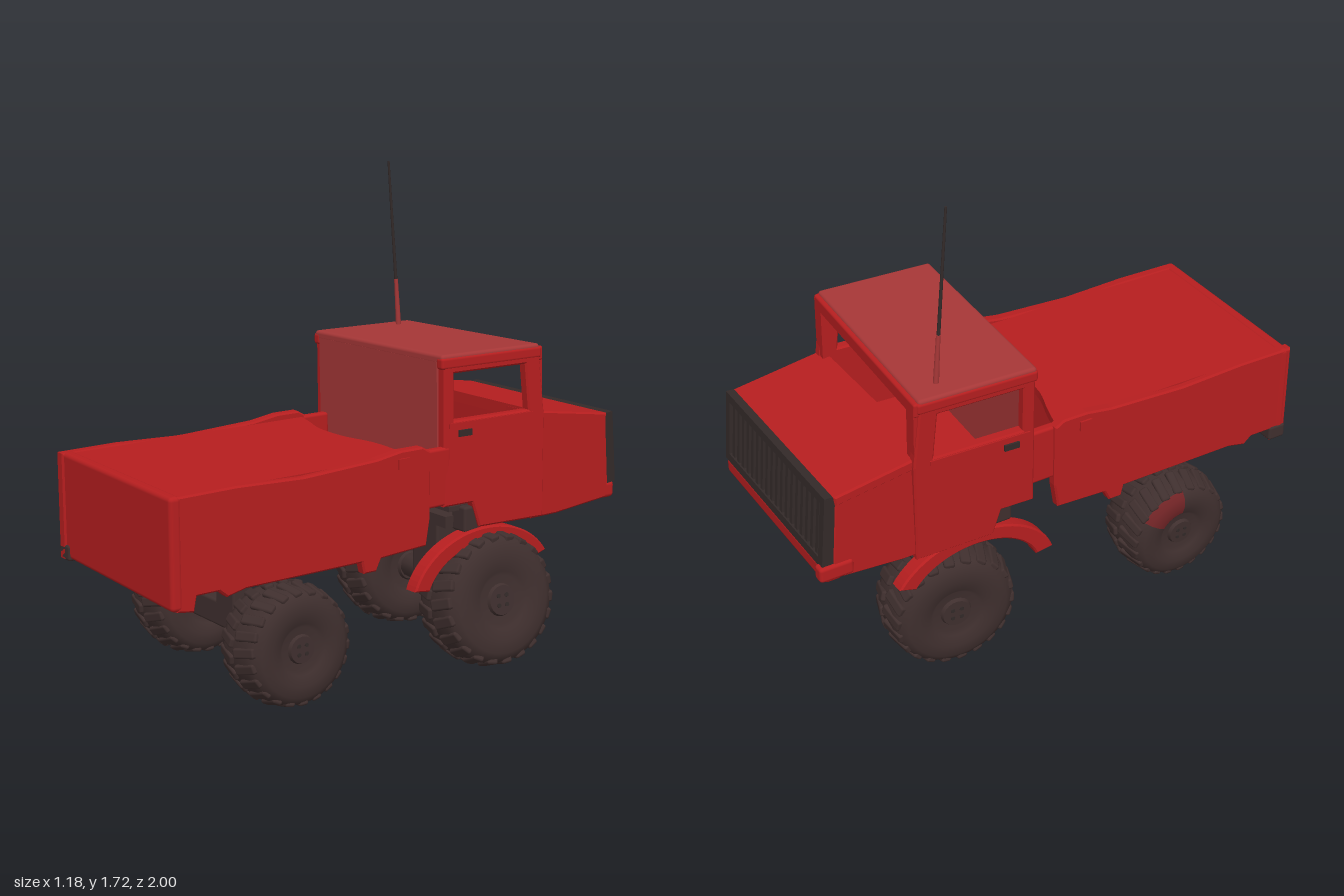
import * as THREE from 'three';
import { mergeGeometries } from 'three/addons/utils/BufferGeometryUtils.js';
import { RoundedBoxGeometry } from 'three/addons/geometries/RoundedBoxGeometry.js';

const mat = (name, color) => {
  const m = new THREE.MeshStandardMaterial({ color });
  m.name = name;
  return m;
};

export function createModel() {
  const red = mat('red paint', 0xb61e1f);
  const faded = mat('faded red paint', 0xa63737);
  const rubber = mat('dark brown rubber', 0x3f2f2e);
  const black = mat('black plastic', 0x332a29);
  const stain = mat('red stained rubber', 0x742527);

  const model = new THREE.Group();
  const truck = new THREE.Group();
  truck.name = 'truck';
  truck.rotation.y = -0.2514; // the truck stands at an angle, its nose toward -z
  model.add(truck);

  const add = (name, geo, material, parent = truck) => {
    const m = new THREE.Mesh(geo, material);
    m.name = name;
    parent.add(m);
    return m;
  };
  // Box given by its limits on each axis
  const box = (name, material, x0, x1, y0, y1, z0, z1, r = 0, parent = truck) => {
    const s = [x1 - x0, y1 - y0, z1 - z0];
    const g = r ? new RoundedBoxGeometry(...s, 2, r) : new THREE.BoxGeometry(...s);
    const m = add(name, g, material, parent);
    m.position.set((x0 + x1) / 2, (y0 + y1) / 2, (z0 + z1) / 2);
    return m;
  };
  const shapeOf = pts => new THREE.Shape(pts.map(p => new THREE.Vector2(...p)));
  // Side panel: profile in (forward, up), extruded from x0 to x1
  const sidePanel = (name, material, shape, x0, x1, parent = truck) => {
    const g = new THREE.ExtrudeGeometry(shape, {
      depth: x1 - x0 - 0.012, bevelThickness: 0.006, bevelSize: 0.006, bevelOffset: -0.006, bevelSegments: 1, curveSegments: 16 });
    g.rotateY(Math.PI / 2).translate(x0 + 0.006, 0, 0);
    return add(name, g, material, parent);
  };
  const bothSides = fn => [-1, 1].forEach(s => fn(s, (a, b) => (s > 0 ? [a, b] : [-b, -a])));

  // Cab: a hollow shell, slightly twisted and leaning on the chassis
  const cab = new THREE.Group();
  cab.name = 'cab';
  cab.position.set(-0.01, 0.595, -0.365);
  cab.rotation.set(0, -0.047, 0.028);
  truck.add(cab);
  const cabBody = new THREE.Group();
  cabBody.name = 'cabBody';
  cabBody.position.set(0, -0.6, 0.365);
  cab.add(cabBody);
  bothSides((s, span) => {
    const side = shapeOf([[0.15, 0.62], [0.27, 0.62], [0.3, 0.53], [0.58, 0.525], [0.585, 0.89],
      [0.56, 1.115], [0.153, 1.115]]);
    side.holes.push(shapeOf([[0.195, 0.91], [0.195, 1.07], [0.5, 1.07], [0.515, 0.91]]));
    sidePanel('cabSide', red, side, ...span(0.345, 0.384), cabBody);
    box('doorHandle', black, ...span(0.384, 0.391), 0.855, 0.877, -0.265, -0.21, 0, cabBody);
    box('doorSill', red, ...span(0.382, 0.389), 0.887, 0.903, -0.53, -0.17, 0, cabBody);
    box('roofEdge', red, ...span(0.35, 0.386), 1.085, 1.125, -0.57, -0.143, 0.01, cabBody);
  });
  box('cabBackWall', faded, -0.352, 0.352, 0.63, 1.11, -0.175, -0.145, 0, cabBody);
  box('cabRoof', faded, -0.382, 0.382, 1.1, 1.135, -0.565, -0.145, 0.012, cabBody);
  box('roofFrontEdge', red, -0.38, 0.38, 1.075, 1.125, -0.58, -0.55, 0.008, cabBody);
  box('cabFloor', red, -0.35, 0.35, 0.62, 0.645, -0.57, -0.16, 0, cabBody);
  const frame = shapeOf([[-0.375, 0.86], [0.375, 0.86], [0.375, 1.115], [-0.375, 1.115]]);
  frame.holes.push(shapeOf([[-0.325, 0.895], [-0.325, 1.08], [0.325, 1.08], [0.325, 0.895]]));
  add('windscreenFrame', new THREE.ExtrudeGeometry(frame, { depth: 0.03, bevelEnabled: false }), red, cabBody)
    .position.z = -0.58;
  box('firewall', red, -0.35, 0.35, 0.55, 0.89, -0.575, -0.555, 0, cabBody);

  bothSides((s, span) => {
    sidePanel('noseSide', red, shapeOf([[0.52, 0.525], [0.64, 0.525], [0.88, 0.545], [0.89, 0.6],
      [0.87, 0.85], [0.52, 0.885]]), ...span(0.335, 0.372));
    box('fuelTank', rubber, ...span(0.29, 0.36), 0.52, 0.61, -0.3, -0.225, 0.01);

    // Hooked arch over the front wheel
    const c = s > 0 ? 0.31 : 0.375;
    const arch = new THREE.Shape();
    arch.absellipse(c, 0.3, 0.315, 0.232, 0.45, Math.PI - 0.24, false);
    arch.absellipse(c, 0.3, 0.25, 0.178, Math.PI - 0.26, 0.48, true);
    sidePanel('wheelArch', red, arch, ...span(0.315, 0.372));

    // Cargo bed side with uneven rim and lower tabs
    sidePanel('bedSide', red, shapeOf([[-0.92, 0.47], [-0.86, 0.46], [-0.85, 0.51], [-0.77, 0.51], [-0.74, 0.485],
      [-0.67, 0.5], [-0.22, 0.5], [-0.21, 0.46], [-0.16, 0.46], [-0.14, 0.5], [0.05, 0.51], [0.065, 0.6],
      [0.065, 0.83], [0.03, 0.85], [-0.06, 0.85], [-0.16, 0.835], [-0.45, 0.822], [-0.7, 0.832], [-0.92, 0.83]]), ...span(0.332, 0.372));
    box('bedMarker', red, ...span(0.371, 0.379), 0.79, 0.825, 0.03, 0.075);
    box('sideRail', red, ...span(0.325, 0.36), 0.63, 0.83, -0.16, -0.05, 0.01);

    // Chassis rails
    box('frontRail', rubber, ...span(0.1, 0.16), 0.52, 0.58, -0.6, -0.18);
    box('rearRail', rubber, ...span(0.1, 0.16), 0.52, 0.58, 0.1, 0.82);
  });
  box('mudFlap', rubber, -0.377, -0.31, 0.465, 0.52, 0.85, 0.92, 0.01);
  box('underbody', rubber, -0.33, 0.33, 0.595, 0.612, -0.6, -0.18);

  // Hood, grille and bumper
  sidePanel('hood', red, shapeOf([[0.54, 0.865], [0.87, 0.82], [0.875, 0.855], [0.54, 0.905]]), -0.375, 0.372);
  const grille = new THREE.Group();
  grille.name = 'grille';
  grille.position.set(0, 0.725, -0.885);
  grille.rotation.x = 0.09;
  truck.add(grille);
  const bar = (name, w, h, d, x, y, z) => add(name, new THREE.BoxGeometry(w, h, d), black, grille).position.set(x, y, z);
  bar('grilleBack', 0.735, 0.25, 0.03, 0, 0, 0.008);
  for (const s of [-1, 1]) {
    bar('grilleFrame', 0.735, 0.03, 0.05, 0, s * 0.115, -0.006);
    bar('grilleEnd', 0.03, 0.25, 0.05, s * 0.353, 0, -0.006);
  }
  for (let i = 0; i < 18; i++) bar('grilleSlat', 0.018, 0.21, 0.035, -0.315 + i * 0.037, 0, -0.008);
  box('bumper', red, -0.375, 0.37, 0.54, 0.6, -0.925, -0.86, 0.015);
  box('bumperCorner', red, -0.38, -0.335, 0.55, 0.605, -0.94, -0.82, 0.012);

  // Cargo bed: cover with wavy front edge, tailgate and front wall
  const coverShape = new THREE.Shape();
  coverShape.moveTo(-0.35, -0.9);
  coverShape.lineTo(0.35, -0.9);
  coverShape.lineTo(0.35, -0.01);
  coverShape.splineThru([[0.15, 0.005], [0, -0.02], [-0.14, -0.015], [-0.25, 0.02], [-0.35, 0.05]]
    .map(p => new THREE.Vector2(...p)));
  const cover = new THREE.ExtrudeGeometry(coverShape, { depth: 0.03, bevelEnabled: false });
  add('bedCover', cover.rotateX(-Math.PI / 2), red).position.y = 0.797;
  box('tailgate', red, -0.374, 0.374, 0.472, 0.832, 0.885, 0.927, 0.015).rotation.y = -0.04;
  box('bedFrontWall', red, -0.34, 0.34, 0.52, 0.8, 0.03, 0.05);

  // Chassis cross members and axle mounts
  box('noseBeam', rubber, -0.33, 0.33, 0.53, 0.6, -0.8, -0.74, 0.01);
  for (const z of [-0.5, -0.22]) box('frontCrossMember', rubber, -0.3, 0.3, 0.53, 0.57, z - 0.03, z + 0.03);
  for (const z of [0.14, 0.46, 0.74]) box('rearCrossMember', rubber, -0.33, 0.33, 0.53, 0.57, z - 0.03, z + 0.03);
  box('rearAxleMount', rubber, -0.075, 0.035, 0.24, 0.55, 0.42, 0.5, 0.01);
  box('frontAxleMount', rubber, -0.05, 0.09, 0.24, 0.54, -0.44, -0.33, 0.01);

  // Wheel: rounded tyre, staggered lugs and a bolted hub, axis along x
  const wheel = (name, x, y, z, r, h, yaw, camber) => {
    const g = new THREE.Group();
    g.name = name;
    g.position.set(x, y, z);
    g.rotation.set(0, yaw, camber);
    truck.add(g);
    const half = [[0, 0.8], [0.36, 0.82], [0.42, 0.92], [0.6, 1], [0.78, 0.97], [0.9, 0.82], [0.95, 0.55]];
    const pts = [...half.map(([a, b]) => [a, -b]), [0.965, 0], ...half.slice().reverse()]
      .map(([a, b]) => new THREE.Vector2(a * r, b * h));
    add('tyre', new THREE.LatheGeometry(pts, 48).rotateZ(Math.PI / 2), rubber, g);
    const lugs = [], hubs = [], bolts = [];
    for (const s of [-1, 1]) {
      for (let i = 0; i < 22; i++) {
        const a = (i + s * 0.25) / 22 * Math.PI * 2;
        lugs.push(new RoundedBoxGeometry(h * 0.85, r * 0.1, r * 0.17, 1, 0.008)
          .rotateY(s * 0.2).rotateZ(-s * 0.22).translate(s * h * 0.46, r * 0.93, 0).rotateX(a));
      }
      hubs.push(new THREE.CylinderGeometry(r * 0.22, r * 0.25, h * 0.14, 20)
        .rotateZ(-s * Math.PI / 2).translate(s * h * 0.85, 0, 0));
      for (let i = 0; i < 4; i++) {
        bolts.push(new THREE.CylinderGeometry(r * 0.035, r * 0.035, h * 0.1, 6).rotateZ(Math.PI / 2)
          .translate(s * h * 0.9, r * 0.1, 0).rotateX((i + 0.5) * Math.PI / 2));
      }
    }
    add('treadLugs', mergeGeometries(lugs), rubber, g);
    add('hub', mergeGeometries(hubs), rubber, g);
    add('hubBolts', mergeGeometries(bolts), black, g);
    return g;
  };
  wheel('frontRightWheel', 0.355, 0.275, -0.33, 0.235, 0.105, -0.08, 0.14);
  wheel('frontLeftWheel', -0.275, 0.235, -0.44, 0.228, 0.115, -0.12, 0.04);
  wheel('rearRightWheel', 0.295, 0.262, 0.472, 0.202, 0.108, -0.03, 0.03);
  const rearLeft = wheel('rearLeftWheel', -0.325, 0.262, 0.435, 0.202, 0.115, -0.03, 0.06);

  // Red paint mark on the outer sidewall of one rear tyre
  const mark = [[0.182, 0.098], [0.158, 0.114], [0.121, 0.118], [0.09, 0.109]].map(p => new THREE.Vector2(...p));
  add('paintMark', new THREE.LatheGeometry(mark, 12, 1.6, 1).rotateZ(Math.PI / 2), stain, rearLeft);

  // Rods: axles and aerial
  const rod = (name, material, a, b, ra, rb = ra, n = 10) => {
    const p = new THREE.Vector3(...a), d = new THREE.Vector3(...b).sub(p);
    const m = add(name, new THREE.CylinderGeometry(rb, ra, d.length(), n), material);
    m.position.copy(p).addScaledVector(d, 0.5);
    m.quaternion.setFromUnitVectors(new THREE.Vector3(0, 1, 0), d.normalize());
  };
  rod('frontAxle', rubber, [-0.26, 0.24, -0.44], [0.34, 0.27, -0.33], 0.045);
  box('rearAxle', rubber, -0.32, 0.3, 0.225, 0.315, 0.41, 0.5, 0.01);
  rod('aerialBase', faded, [-0.328, 1.1, -0.484], [-0.331, 1.29, -0.472], 0.01, 0.007);
  rod('aerial', black, [-0.331, 1.28, -0.472], [-0.338, 1.72, -0.44], 0.006, 0.004);

  return model;
}
